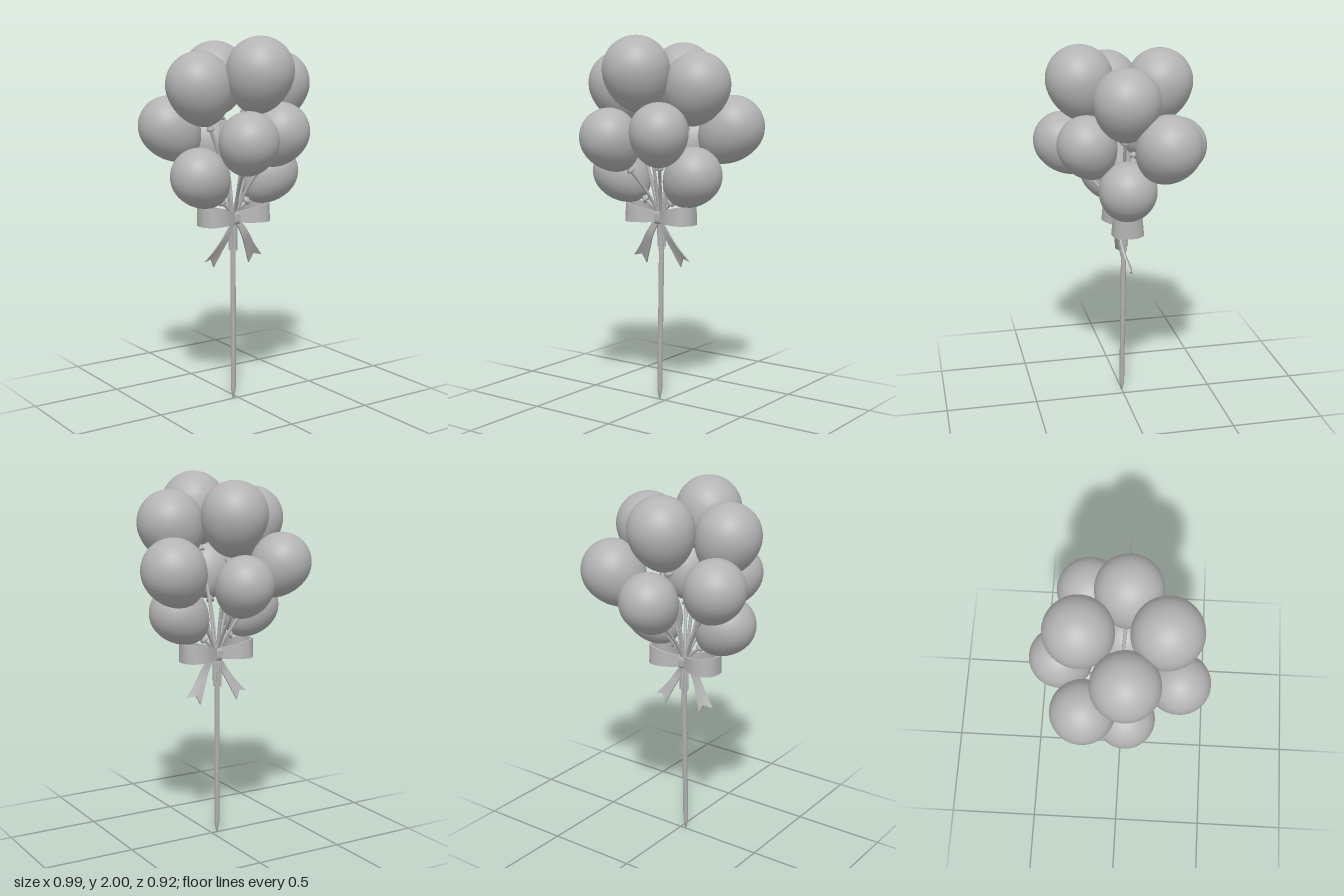
import * as THREE from 'three';
import { toCreasedNormals } from 'three/addons/utils/BufferGeometryUtils.js';
import { RoundedBoxGeometry } from 'three/addons/geometries/RoundedBoxGeometry.js';

const V = (x, y, z) => new THREE.Vector3(x, y, z);
const TIE = V(-0.028, 1.03, 0); // where all strings gather

// centre x, y, z and radius of each balloon
const BALLOONS = [
  [-0.018, 1.823, 0.23, 0.177], [-0.272, 1.75, 0.04, 0.173], [0.236, 1.745, 0.033, 0.173],
  [-0.02, 1.793, -0.2, 0.175], [-0.333, 1.525, -0.168, 0.161], [0.324, 1.52, -0.17, 0.169],
  [-0.018, 1.44, -0.307, 0.153], [-0.14, 1.472, 0.306, 0.155], [0.12, 1.503, 0.22, 0.155],
  [-0.272, 1.272, 0.04, 0.153], [0.2, 1.267, 0.018, 0.153],
];

// Solid skin over equal rows of points, capped at both ends
function loft(rows) {
  const n = rows[0].length, pos = [];
  const quad = (a, b, c, d) => [a, b, c, a, c, d].forEach((p) => pos.push(p.x, p.y, p.z));
  for (let i = 0; i < rows.length - 1; i++) {
    for (let j = 0; j < n; j++) {
      const k = (j + 1) % n;
      quad(rows[i][j], rows[i][k], rows[i + 1][k], rows[i + 1][j]);
    }
  }
  const first = rows[0], last = rows[rows.length - 1];
  for (let k = 0; k < n / 2 - 1; k++) {
    quad(last[k], last[k + 1], last[n - 2 - k], last[n - 1 - k]);
    quad(first[n - 1 - k], first[n - 2 - k], first[k + 1], first[k]);
  }
  const g = new THREE.BufferGeometry();
  g.setAttribute('position', new THREE.Float32BufferAttribute(pos, 3));
  return toCreasedNormals(g, 0.8);
}

// Move rows to the tie, mirrored for the other side
const placeRows = (rows, side) => rows.map((row) => {
  const r = row.map((p) => V(TIE.x + side * p.x, p.y, p.z));
  return side < 0 ? r.reverse() : r;
});

// Teardrop loop of upright ribbon, wider towards its outer end
function bowLoop(side) {
  const half = [[0, 0.018], [0.05, 0.05], [0.11, 0.074], [0.17, 0.07], [0.204, 0.038]];
  const path = new THREE.CatmullRomCurve3([
    ...half.map(([x, z]) => V(x, 0, z)), V(0.212, 0, 0),
    ...half.slice().reverse().map(([x, z]) => V(x, 0, -z)),
  ]);
  const rows = [];
  for (let i = 0; i <= 40; i++) {
    const p = path.getPoint(i / 40), t = path.getTangent(i / 40);
    const f = Math.min(p.x / 0.18, 1), h = 0.03 + 0.021 * f, y = 1.032 + 0.016 * f;
    const at = (up, d) => V(p.x - t.z * d, y + up * h, (p.z + t.x * d) * (1 - 0.06 * up));
    rows.push([at(1, 0.006), at(-1, 0.006), at(-1, -0.006), at(1, -0.006)]);
  }
  return loft(placeRows(rows, side));
}

// Hanging ribbon end with a V notch
function bowTail(side) {
  const outer = new THREE.CatmullRomCurve3([
    V(0.022, 1.02, 0.02), V(0.075, 0.945, 0.026), V(0.125, 0.87, 0.012), V(0.185, 0.8, -0.005)]);
  const inner = new THREE.CatmullRomCurve3([
    V(0.004, 1.0, 0.015), V(0.04, 0.925, 0.018), V(0.075, 0.85, -0.002), V(0.115, 0.76, -0.026)]);
  const rows = [], d = V(0, 0, 0.005);
  for (let i = 0; i <= 16; i++) {
    const u = i / 16, o = outer.getPoint(u), n = inner.getPoint(u);
    const m = o.clone().lerp(n, 0.5);
    m.y += 0.03 * u ** 3;
    m.x -= 0.012 * u ** 3;
    const front = [o, m, n].map((p) => p.clone().add(d));
    const back = [n, m, o].map((p) => p.clone().sub(d));
    rows.push([...front, ...back]);
  }
  return loft(placeRows(rows, side));
}

// Rounded top, drawn-out lower end
function balloonProfile(r) {
  const pts = [];
  for (let i = 0; i <= 32; i++) {
    const a = (i / 32 - 0.5) * Math.PI, s = Math.sin(a), low = s < 0;
    const w = Math.max(Math.cos(a), 0) * (low ? 1 - 0.1 * s * s : 1);
    pts.push(new THREE.Vector2(r * w, r * s * (low ? 1.3 : 1)));
  }
  return pts;
}

export function createModel() {
  const model = new THREE.Group();
  model.name = 'balloonBouquet';
  const grey = new THREE.MeshStandardMaterial({ color: 0xb4b4b4, side: THREE.DoubleSide });
  grey.name = 'plainGrey';
  const add = (parent, geometry, name) => {
    const mesh = new THREE.Mesh(geometry, grey);
    mesh.name = name;
    parent.add(mesh);
    return mesh;
  };

  // Tied neck below each balloon
  const neck = [[0, 0.012], [0.018, 0.012], [0.012, -0.002], [0.016, -0.012],
    [0.022, -0.02], [0.02, -0.03], [0, -0.032]].reverse().map(([x, y]) => new THREE.Vector2(x, y));

  BALLOONS.forEach(([x, y, z, r], i) => {
    const centre = V(x, y, z), axis = centre.clone().sub(TIE).normalize();
    const balloon = new THREE.Group();
    balloon.name = 'balloon';
    balloon.position.copy(centre);
    balloon.quaternion.setFromUnitVectors(V(0, 1, 0), axis);
    add(balloon, new THREE.LatheGeometry(balloonProfile(r), 48), 'balloonBody');
    add(balloon, new THREE.LatheGeometry(neck, 16), 'balloonNeck').position.y = -1.3 * r;
    model.add(balloon);

    // String from the neck, through the tie, to a loose end along the stick
    const start = centre.clone().addScaledVector(axis, -1.3 * r - 0.02);
    const ang = Math.atan2(z, x - TIE.x), cx = Math.cos(ang) * 0.016, cz = Math.sin(ang) * 0.016;
    const mid = start.clone().lerp(TIE, 0.5);
    mid.x += (TIE.x - mid.x) * 0.15;
    mid.z -= mid.z * 0.15;
    const path = new THREE.CatmullRomCurve3([start, mid, V(TIE.x + cx, 1.04, cz),
      V(TIE.x + cx, 0.96, cz - 0.005), V(TIE.x + cx, 0.845 + (i % 4) * 0.02, cz - 0.008)]);
    add(model, new THREE.TubeGeometry(path, 28, 0.009, 8), 'string');
  });

  // Pointed stick, leaning slightly
  const stickProfile = [[0, 0], [0.005, 0.008], [0.014, 0.06], [0.015, 1.04], [0, 1.04]]
    .map(([x, y]) => new THREE.Vector2(x, y));
  const stick = add(model, toCreasedNormals(new THREE.LatheGeometry(stickProfile, 16), 0.6), 'stick');
  stick.position.set(-0.034, 0, 0.003);
  stick.rotation.set(-0.012, 0, -0.007);

  // Ribbon bow
  const bow = new THREE.Group();
  bow.name = 'bow';
  for (const side of [1, -1]) {
    add(bow, bowLoop(side), side > 0 ? 'leftBowLoop' : 'rightBowLoop');
    add(bow, bowTail(side), side > 0 ? 'leftBowTail' : 'rightBowTail');
  }
  add(bow, new RoundedBoxGeometry(0.072, 0.076, 0.078, 4, 0.024), 'bowKnot').position.set(TIE.x, 1.028, 0);
  model.add(bow);
  return model;
}
